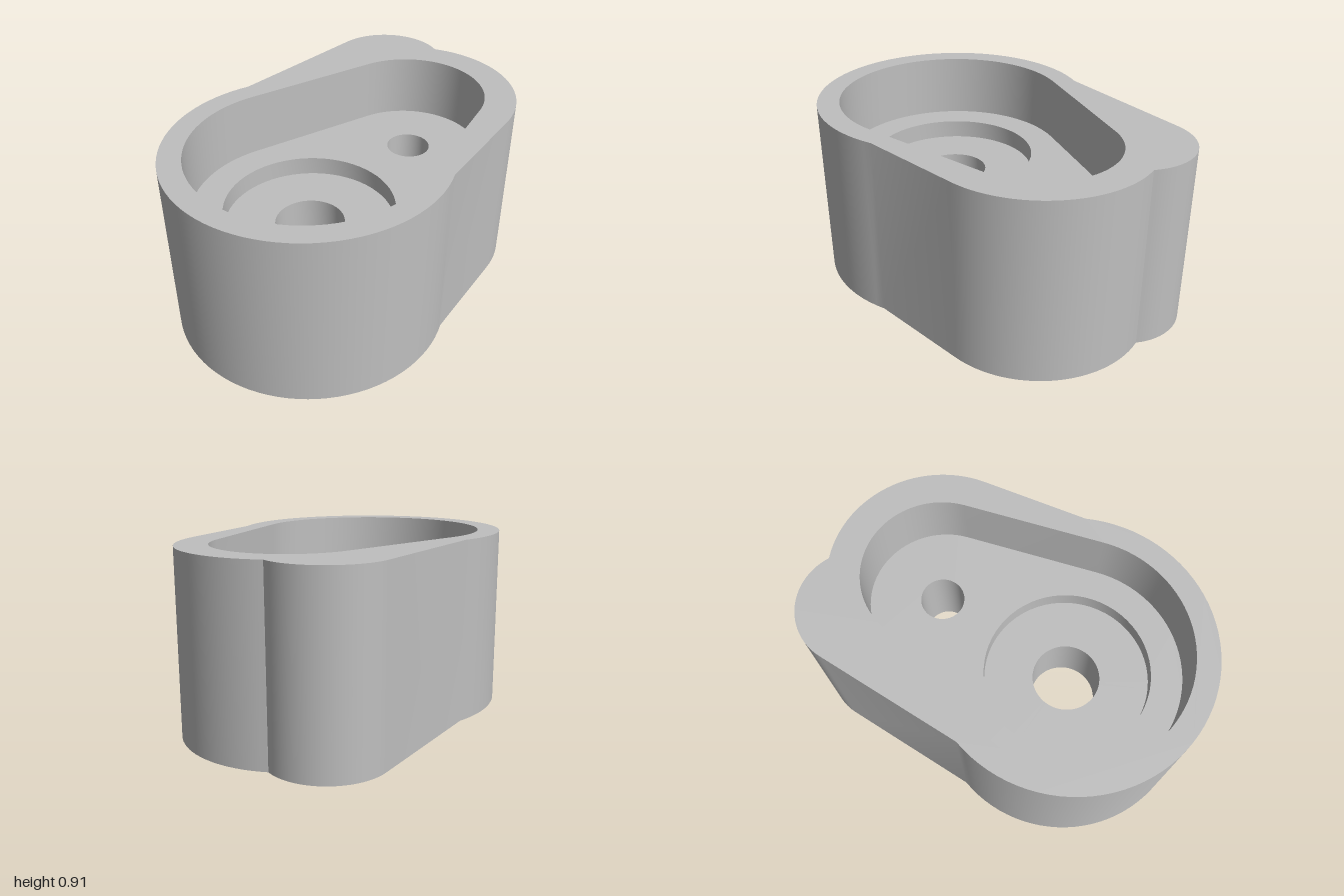
import * as THREE from 'three';
import { toCreasedNormals } from 'three/addons/utils/BufferGeometryUtils.js';

const HEIGHT = 0.914, FLOOR = 0.59, SEG = 64;

// Plan coordinates are (x, -z), listed counter-clockwise seen from above.
const MAIN = [-0.045, -0.315], LOBE = [0.18, 0.38], SIDE = [-0.085, 0.705], PIN = [0.183, 0.392];

// Points along an arc, angles in degrees
function arc([cx, cy], r, from, to) {
  const n = Math.max(2, Math.ceil((to - from) / 4));
  return Array.from({ length: n + 1 }, (_, i) => {
    const a = THREE.MathUtils.degToRad(from + ((to - from) * i) / n);
    return new THREE.Vector2(cx + r * Math.cos(a), cy + r * Math.sin(a));
  });
}

function circle([cx, cy], r) {
  return Array.from({ length: SEG }, (_, i) => {
    const a = (i / SEG) * Math.PI * 2;
    return new THREE.Vector2(cx + r * Math.cos(a), cy + r * Math.sin(a));
  });
}

// Upright wall along a closed outline; reversed points face inward
function wall(points, y0, y1) {
  const pos = [];
  points.forEach((p, i) => {
    const q = points[(i + 1) % points.length];
    pos.push(p.x, y0, -p.y, q.x, y0, -q.y, q.x, y1, -q.y);
    pos.push(p.x, y0, -p.y, q.x, y1, -q.y, p.x, y1, -p.y);
  });
  const g = new THREE.BufferGeometry();
  g.setAttribute('position', new THREE.Float32BufferAttribute(pos, 3));
  return toCreasedNormals(g, 0.3);
}

// Flat horizontal face with holes
function face(points, holes, y, down = false) {
  const shape = new THREE.Shape(points);
  holes.forEach((h) => shape.holes.push(new THREE.Path(h)));
  const g = new THREE.ShapeGeometry(shape).rotateX(-Math.PI / 2).translate(0, y, 0);
  if (down) {
    g.index.array.reverse();
    g.computeVertexNormals();
  }
  return g;
}

// Stepped round hole, profile from top to bottom as [radius, y]
function bore([cx, cy], profile) {
  const pts = profile.map(([r, y]) => new THREE.Vector2(r, y));
  const g = toCreasedNormals(new THREE.LatheGeometry(pts, SEG), 0.5);
  return g.translate(cx, 0, -cy);
}

export function createModel() {
  const group = new THREE.Group();
  const grey = new THREE.MeshStandardMaterial({ color: 0xbfbfbf });
  grey.name = 'light grey';
  const add = (name, geometry) => {
    const mesh = new THREE.Mesh(geometry, grey);
    mesh.name = name;
    group.add(mesh);
  };

  // Outer outline: main round, rear lobe and small side lobe
  const outline = [
    ...arc(MAIN, 0.683, 144.2, 367.1),
    ...arc(LOBE, 0.539, -9.1, 96.2),
    ...arc(SIDE, 0.295, 45.5, 162),
  ];
  // Pocket outline: two rounds joined by tangents
  const pocket = [
    ...arc(MAIN, 0.571, 147.1, 357.2),
    ...arc(LOBE, 0.381, -2.8, 147.1),
  ];

  add('outerWall', wall(outline, 0, HEIGHT));
  add('topRim', face(outline, [pocket], HEIGHT));
  add('pocketWall', wall([...pocket].reverse(), FLOOR, HEIGHT));
  add('pocketFloor', face(pocket, [circle(MAIN, 0.416), circle(PIN, 0.111)], FLOOR));
  add('underside', face(outline, [circle(MAIN, 0.335), circle(PIN, 0.212)], 0, true));

  // Main hole: shallow recess above, countersink below
  add('mainBore', bore(MAIN, [[0.416, FLOOR], [0.416, 0.495], [0.17, 0.495], [0.17, 0.17], [0.335, 0]]));
  // Pin hole: counterbored from below
  add('pinBore', bore(PIN, [[0.111, FLOOR], [0.111, 0.175], [0.212, 0.175], [0.212, 0]]));

  return group;
}
